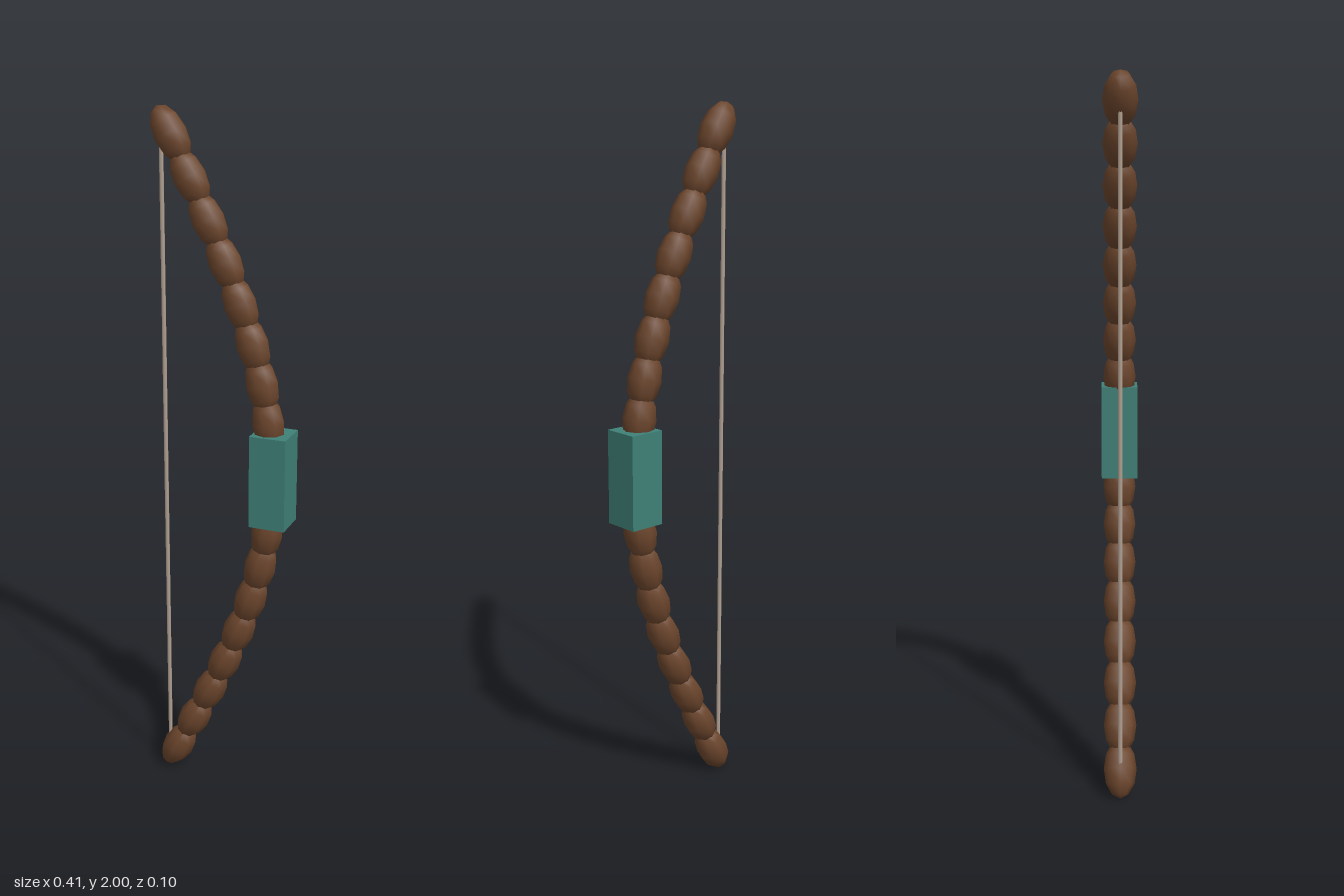
import * as THREE from 'three';

export function createModel() {
  const group = new THREE.Group();
  group.name = 'bow';
  const wood = new THREE.MeshStandardMaterial({ color: 0x6b452c });
  const wrap = new THREE.MeshStandardMaterial({ color: 0x3f8077 });
  const cord = new THREE.MeshStandardMaterial({ color: 0xb3a293 });

  const add = (name, geometry, material, x, y, z = 0) => {
    const mesh = new THREE.Mesh(geometry, material);
    mesh.name = name;
    mesh.position.set(x, y, z);
    group.add(mesh);
    return mesh;
  };

  // Limbs: overlapping stretched beads along a cosine curve
  const count = 18, reach = 0.925, depth = 0.293;
  const bead = new THREE.SphereGeometry(1, 8, 6).scale(0.047, 0.082, 0.047);
  for (let i = 0; i < count; i++) {
    const t = (i / (count - 1)) * 2 - 1;
    const angle = (t * Math.PI) / 2;
    const slope = (depth * Math.PI) / 2 / reach * Math.sin(angle);
    const segment = add(`limbSegment${i + 1}`, bead, wood,
      -0.145 + depth * Math.cos(angle), 1 + reach * t);
    segment.rotation.z = Math.atan(slope) * 1.1;
  }

  // Grip block around the middle of the limbs
  add('grip', new THREE.BoxGeometry(0.105, 0.268, 0.104), wrap, 0.153, 1.003);

  // Bowstring between the two tips
  add('bowstring', new THREE.CylinderGeometry(0.006, 0.006, 1.88, 6), cord, -0.173, 1);

  return group;
}
